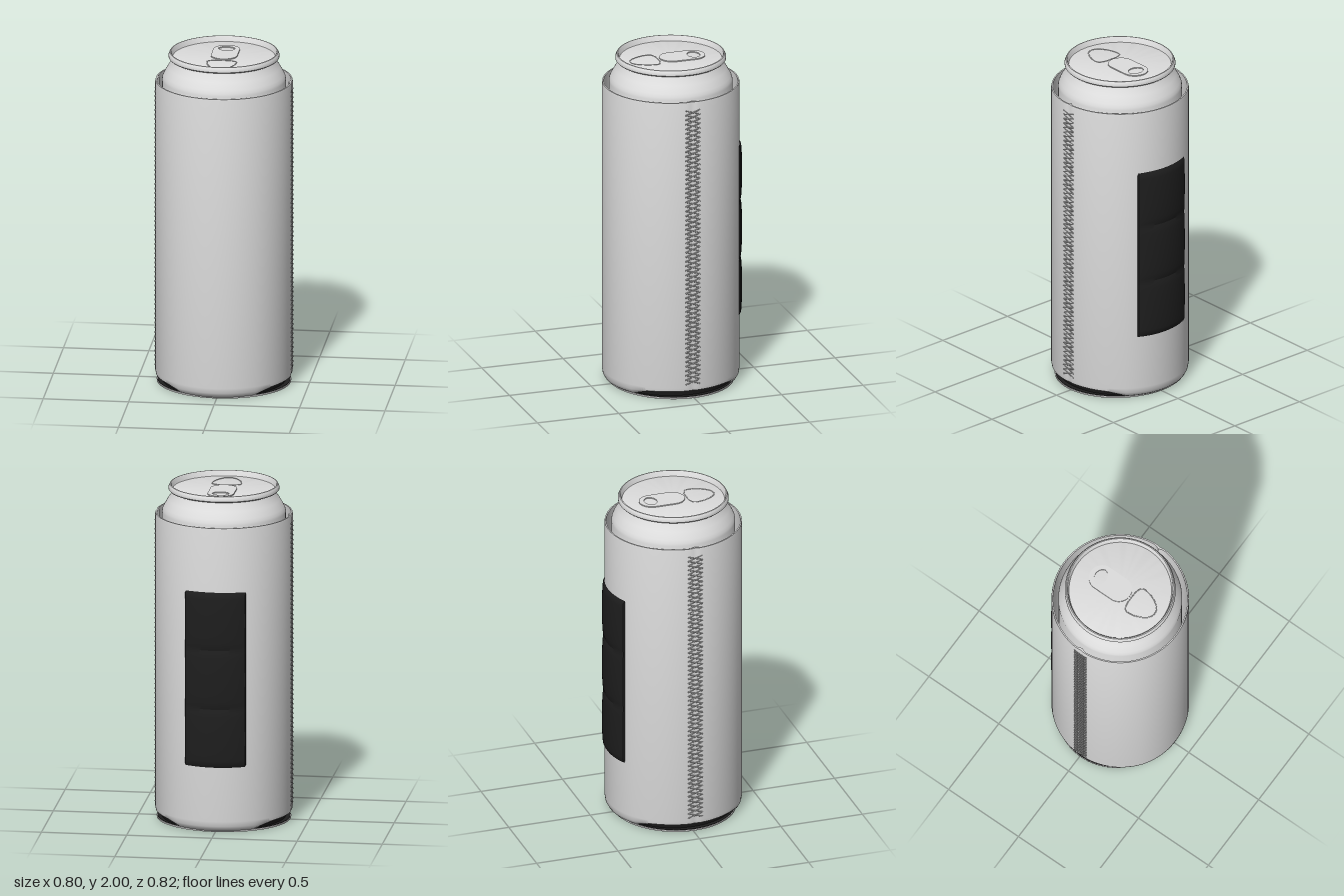
import * as THREE from 'three';
import { mergeGeometries, toCreasedNormals } from 'three/addons/utils/BufferGeometryUtils.js';

const mat = (name, color) => new THREE.MeshStandardMaterial({ name, color });

export function createModel() {
  const model = new THREE.Group();
  model.name = 'canInSleeve';
  const body = new THREE.Group();
  body.name = 'body';
  body.position.z = 0.01;
  model.add(body);

  const fabric = mat('sleeveGrey', 0xdcdcdc);
  const metal = mat('canGrey', 0xdedede);
  const black = mat('black', 0x1e1e1e);
  const thread = mat('threadGrey', 0xbcbcbc);

  const add = (name, geo, material, x = 0, y = 0, z = 0) => {
    const mesh = new THREE.Mesh(geo, material);
    mesh.name = name;
    mesh.position.set(x, y, z);
    body.add(mesh);
    return mesh;
  };
  const lathe = (pts, seg) => new THREE.LatheGeometry(
    pts.map(([r, y]) => new THREE.Vector2(r, y)), seg, Math.PI);

  // Sleeve: thin shell with rounded hem, arched side openings and seam creases
  const sleeve = lathe([
    [0.34, 0.004], [0.365, 0.006], [0.385, 0.02], [0.396, 0.04], [0.4, 0.07],
    [0.4, 1.82], [0.398, 1.83], [0.39, 1.83],
    [0.388, 0.07], [0.384, 0.045], [0.372, 0.025], [0.345, 0.012], [0.34, 0.004],
  ], 192);
  const p = sleeve.attributes.position;
  for (let i = 0; i < p.count; i++) {
    const x = p.getX(i), z = p.getZ(i);
    let y = p.getY(i), r = Math.hypot(x, z);
    const nx = x / r, nz = z / r;
    const t = Math.asin(Math.min(1, Math.abs(nz))) / 0.95;
    const inner = r < 0.3905 && y > 0.06;
    if (y < 0.06 && t < 1) {
      const w = 1 - t ** 4;
      r = THREE.MathUtils.lerp(r, Math.max(r, 0.39), w);
      y = THREE.MathUtils.lerp(y, Math.max(y, 0.05), w);
    }
    r -= (inner ? 0.012 : 0.005) * Math.exp(-((nz * 0.4 / 0.018) ** 2));
    p.setXYZ(i, nx * r, y, nz * r);
  }
  add('sleeve', toCreasedNormals(sleeve, 0.7), fabric);

  // Base panel and dark lining showing through the side openings
  const base = add('basePanel', new THREE.CylinderGeometry(0.392, 0.39, 0.01, 96), fabric, 0, 0.005);
  base.scale.z = 0.935;
  const lining = add('baseLining', new THREE.CylinderGeometry(0.388, 0.388, 0.004, 96), black, 0, 0.011);
  lining.scale.z = 0.93;
  add('innerLining', new THREE.CylinderGeometry(0.372, 0.36, 0.04, 96), black, 0, 0.03);
  add('innerFloor', new THREE.CylinderGeometry(0.374, 0.374, 0.004, 96), fabric, 0, 0.052);

  // Can: wall, shoulder, neck, rolled rim and recessed lid
  const can = lathe([
    [0.36, 0.05], [0.36, 1.835], [0.357, 1.85], [0.349, 1.868], [0.325, 1.91], [0.298, 1.948],
    [0.294, 1.96], [0.3, 1.963], [0.317, 1.964], [0.322, 1.97], [0.322, 1.982], [0.318, 1.992],
    [0.314, 1.999], [0.308, 2], [0.304, 1.995], [0.301, 1.972], [0.298, 1.967], [0.291, 1.969], [0, 1.969],
  ], 96);
  add('can', toCreasedNormals(can, 0.6), metal);

  // Pull tab with finger hole
  const hw = 0.077, zc = 0.05;
  const tab = new THREE.Shape();
  tab.absarc(0, zc + 0.08, hw, 0, Math.PI, false);
  tab.absarc(0, zc - 0.02 - 0.02, hw, Math.PI, Math.PI * 2, false);
  tab.closePath();
  const hole = new THREE.Path();
  hole.moveTo(-0.05, 0.14);
  hole.bezierCurveTo(-0.04, 0.188, 0.04, 0.188, 0.05, 0.14);
  hole.bezierCurveTo(0.04, 0.09, -0.04, 0.09, -0.05, 0.14);
  tab.holes.push(hole);
  const tabGeo = new THREE.ExtrudeGeometry(tab, { depth: 0.006, bevelEnabled: false, curveSegments: 24 });
  tabGeo.rotateX(-Math.PI / 2);
  add('pullTab', tabGeo, metal, 0, 1.969, 0);

  // Raised outline of the mouth
  const half = [[0.05, 0.082], [0.082, 0.098], [0.084, 0.14], [0.062, 0.2], [0.033, 0.236]];
  const loop = [[0, 0.079], ...half, [0, 0.247], ...half.map(([x, z]) => [-x, z]).reverse()];
  const mouth = new THREE.CatmullRomCurve3(loop.map(([x, z]) => new THREE.Vector3(x, 0, z)), true);
  add('mouthOutline', new THREE.TubeGeometry(mouth, 72, 0.003, 6, true), metal, 0, 1.969, 0);

  // Curved back pad made of three padded cells
  const pad = new THREE.PlaneGeometry(1, 1, 32, 48);
  const q = pad.attributes.position;
  for (let i = 0; i < q.count; i++) {
    const u = q.getX(i) * 2, v = q.getY(i) + 0.5;
    const f = (v * 3) % 1;
    const edge = Math.abs(u) > 0.999 || v < 0.001 || v > 0.999;
    const puff = Math.sqrt(Math.max(0, 4 * f * (1 - f)) * (1 - u * u));
    const r = edge ? 0.397 : 0.405 + 0.013 * puff;
    const a = u * 0.475;
    q.setXYZ(i, r * Math.sin(a), 0.39 + v * 1.06, r * Math.cos(a));
  }
  pad.rotateY(Math.PI);
  add('backPad', toCreasedNormals(pad, 0.5), black);

  // Crossed zigzag stitches along both side seams
  const up = new THREE.Vector3(0, 1, 0);
  const strand = (a, b) => {
    const d = b.clone().sub(a);
    const g = new THREE.CylinderGeometry(0.0035, 0.0035, d.length(), 5);
    g.applyQuaternion(new THREE.Quaternion().setFromUnitVectors(up, d.clone().normalize()));
    const m = a.clone().add(b).multiplyScalar(0.5);
    return g.translate(m.x, m.y, m.z);
  };
  const count = 60, y0 = 0.09, step = (1.78 - y0) / count, width = 0.044;
  for (const side of [1, -1]) {
    const parts = [];
    for (let i = 0; i < count; i++) {
      for (const phase of [1, -1]) {
        const s = (i % 2 ? 1 : -1) * phase;
        const y = y0 + i * step;
        const pts = [
          new THREE.Vector3(side * 0.398, y, s * width),
          new THREE.Vector3(side * 0.399, y + step / 2, 0),
          new THREE.Vector3(side * 0.398, y + step, -s * width),
        ];
        parts.push(strand(pts[0], pts[1]), strand(pts[1], pts[2]));
      }
    }
    add(side > 0 ? 'leftStitching' : 'rightStitching', mergeGeometries(parts), thread);
  }
  return model;
}
